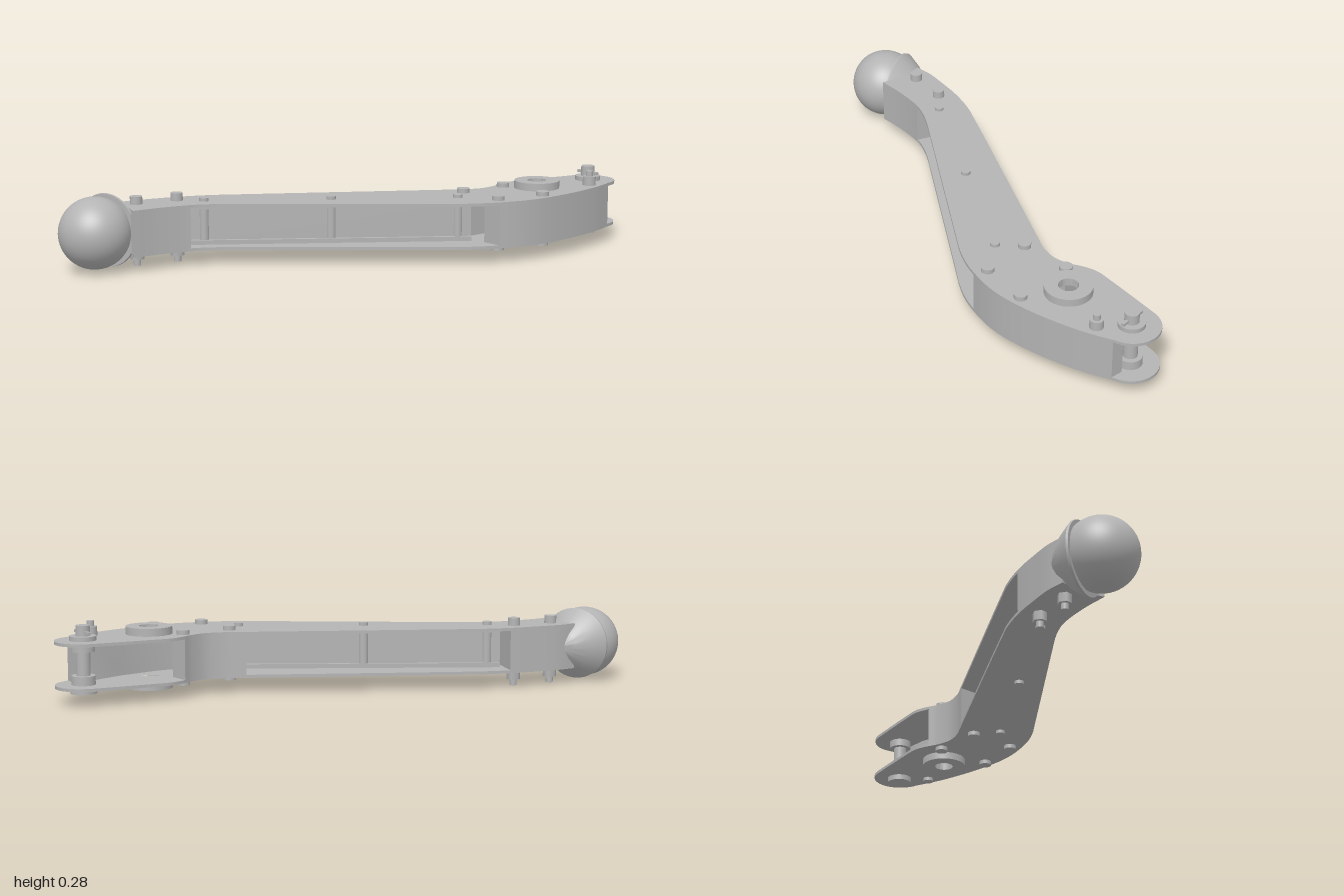
import * as THREE from 'three';
import { toCreasedNormals } from 'three/addons/utils/BufferGeometryUtils.js';

const steel = new THREE.MeshStandardMaterial({ color: 0xb4b4b4 });
steel.name = 'grey steel';

const LOW = 0.055, HIGH = 0.222, THICK = 0.011;
const PIN = [0.9, 0.305], HUB = [0.632, 0.307];

// Smooth edge through [x, z] points, sampled densely
const edge = (pts) => new THREE.CatmullRomCurve3(pts.map(([x, z]) => new THREE.Vector3(x, 0, z)), false, 'centripetal')
  .getPoints(160).map((p) => [p.x, p.z]);

const backEdge = edge([[-0.76, -0.41], [-0.69, -0.407], [-0.61, -0.39], [-0.5, -0.36], [-0.4, -0.318], [-0.33, -0.277],
  [0.28, 0.097], [0.35, 0.14], [0.41, 0.175], [0.47, 0.192], [0.53, 0.184], [0.58, 0.165], [0.63, 0.155], [0.7, 0.165], [0.917, 0.206]]);
const frontEdge = edge([[-0.78, -0.237], [-0.68, -0.228], [-0.555, -0.2], [-0.5, -0.173], [-0.45, -0.14], [-0.39, -0.093],
  [0.14, 0.328], [0.2, 0.375], [0.26, 0.412], [0.33, 0.442], [0.42, 0.468], [0.51, 0.477], [0.66, 0.467], [0.81, 0.438], [0.915, 0.404]]);
const range = (pts, a, b) => pts.filter(([x]) => x >= a && x <= b);

export function createModel() {
  const model = new THREE.Group();
  model.name = 'leverArm';

  const add = (name, geometry, x = 0, y = 0, z = 0) => {
    const m = new THREE.Mesh(geometry, steel);
    m.name = name;
    m.position.set(x, y, z);
    model.add(m);
    return m;
  };
  // Upright cylinder between two heights
  const post = (name, [x, z], r, y0, y1) =>
    add(name, new THREE.CylinderGeometry(r, r, y1 - y0, 32), x, (y0 + y1) / 2, z);
  // Slab with an [x, z] outline and optional round holes
  const slab = (name, pts, y0, y1, holes = []) => {
    const shape = new THREE.Shape(pts.map(([x, z]) => new THREE.Vector2(x, -z)));
    for (const [x, z, r] of holes) {
      const hole = new THREE.Path();
      hole.absarc(x, -z, r, 0, Math.PI * 2, true);
      shape.holes.push(hole);
    }
    const g = new THREE.ExtrudeGeometry(shape, { depth: y1 - y0, bevelEnabled: false, curveSegments: 24 });
    g.rotateX(-Math.PI / 2);
    return add(name, toCreasedNormals(g, 0.5), 0, y0, 0);
  };

  // Two matching side plates with a round nose at the pin end
  const nose = [];
  for (let i = 1; i < 24; i++) {
    const a = THREE.MathUtils.degToRad(-80 + (162 * i) / 24);
    nose.push([PIN[0] + 0.1 * Math.cos(a), PIN[1] + 0.1 * Math.sin(a)]);
  }
  const outline = [...backEdge, ...nose, ...[...frontEdge].reverse(), [-0.752, -0.32]];
  const holes = [[...HUB, 0.035]];
  slab('lowerPlate', outline, LOW, LOW + THICK, holes);
  slab('upperPlate', outline, HIGH - THICK, HIGH, holes);

  // Spacer blocks between the plates
  const y0 = LOW + THICK, y1 = HIGH - THICK;
  slab('ballEndSpacer', [...range(backEdge, -1, -0.485), ...range(frontEdge, -1, -0.555).reverse()], y0, y1);
  slab('rearSpacer', [...range(backEdge, 0.33, 0.57), [0.57, 0.25], [0.33, 0.25]], y0, y1);
  slab('frontSpacer', [[0.32, 0.365], [0.42, 0.39], [0.55, 0.4], [0.7, 0.388], [0.82, 0.36], [0.912, 0.362],
    ...range(frontEdge, 0.32, 0.912).reverse()], y0, y1);

  // Central web with thicker rails along its top and bottom
  const web = (name, h, y, t) => {
    add(name, new THREE.BoxGeometry(1.007, h, t), -0.105, y, 0.018).rotation.y = -0.602;
  };
  web('web', y1 - y0, (y0 + y1) / 2, 0.012);
  web('lowerRail', 0.016, y0 + 0.008, 0.04);
  web('upperRail', 0.016, y1 - 0.008, 0.04);

  // Rods through the web
  for (const p of [[-0.48, -0.24], [-0.105, 0.016], [0.272, 0.274]]) post('webRod', p, 0.017, 0.043, 0.234);

  // Rivets through the spacers
  for (const p of [[0.353, 0.212], [0.545, 0.218], [0.353, 0.4], [0.535, 0.438]]) post('rivet', p, 0.023, 0.04, 0.238);

  // Bolts and nuts at the ball end
  for (const p of [[-0.7, -0.342], [-0.55, -0.31]]) {
    post('boltHead', p, 0.022, HIGH, 0.25);
    add('boltNut', new THREE.CylinderGeometry(0.025, 0.025, 0.033, 6), p[0], 0.0385, p[1]);
    post('boltEnd', p, 0.013, 0, 0.024);
  }

  // Hub bosses with a through hole
  const boss = (name, a, b) => {
    const g = new THREE.LatheGeometry([[0.035, a], [0.083, a], [0.083, b], [0.035, b], [0.035, a]]
      .map(([r, y]) => new THREE.Vector2(r, y)), 48);
    add(name, toCreasedNormals(g, 0.5), HUB[0], 0, HUB[1]);
  };
  boss('lowerHub', 0.028, LOW);
  boss('upperHub', HIGH, 0.25);

  // Clevis pin with collars, washer and split pin
  post('clevisPin', PIN, 0.025, 0.035, 0.275);
  post('pinHead', PIN, 0.047, 0.035, LOW);
  post('lowerCollar', PIN, 0.042, y0, 0.098);
  post('upperCollar', PIN, 0.042, 0.183, y1);
  post('pinWasher', PIN, 0.047, HIGH, 0.238);
  add('splitPin', new THREE.BoxGeometry(0.012, 0.01, 0.1), PIN[0], 0.25, PIN[1]);

  // Grease nipple
  post('nippleBase', [0.822, 0.39], 0.024, HIGH, 0.255);
  post('nippleTip', [0.822, 0.39], 0.013, 0.255, 0.275);
  post('nippleFoot', [0.822, 0.39], 0.02, 0.042, LOW);

  // Ball and the cone that joins it to the arm
  add('ball', new THREE.SphereGeometry(0.128, 48, 32), -0.872, 0.139, -0.342);
  const axis = new THREE.Vector3(0.943, 0, -0.334).normalize();
  const profile = [[0, 0], [0.13, 0], [0.131, 0.008], [0.095, 0.055], [0.05, 0.094], [0.02, 0.112], [0, 0.116]]
    .map(([r, y]) => new THREE.Vector2(r, y));
  const cone = add('ballCone', toCreasedNormals(new THREE.LatheGeometry(profile, 48), 0.6), -0.815, 0.139, -0.36);
  cone.quaternion.setFromUnitVectors(new THREE.Vector3(0, 1, 0), axis);

  return model;
}
